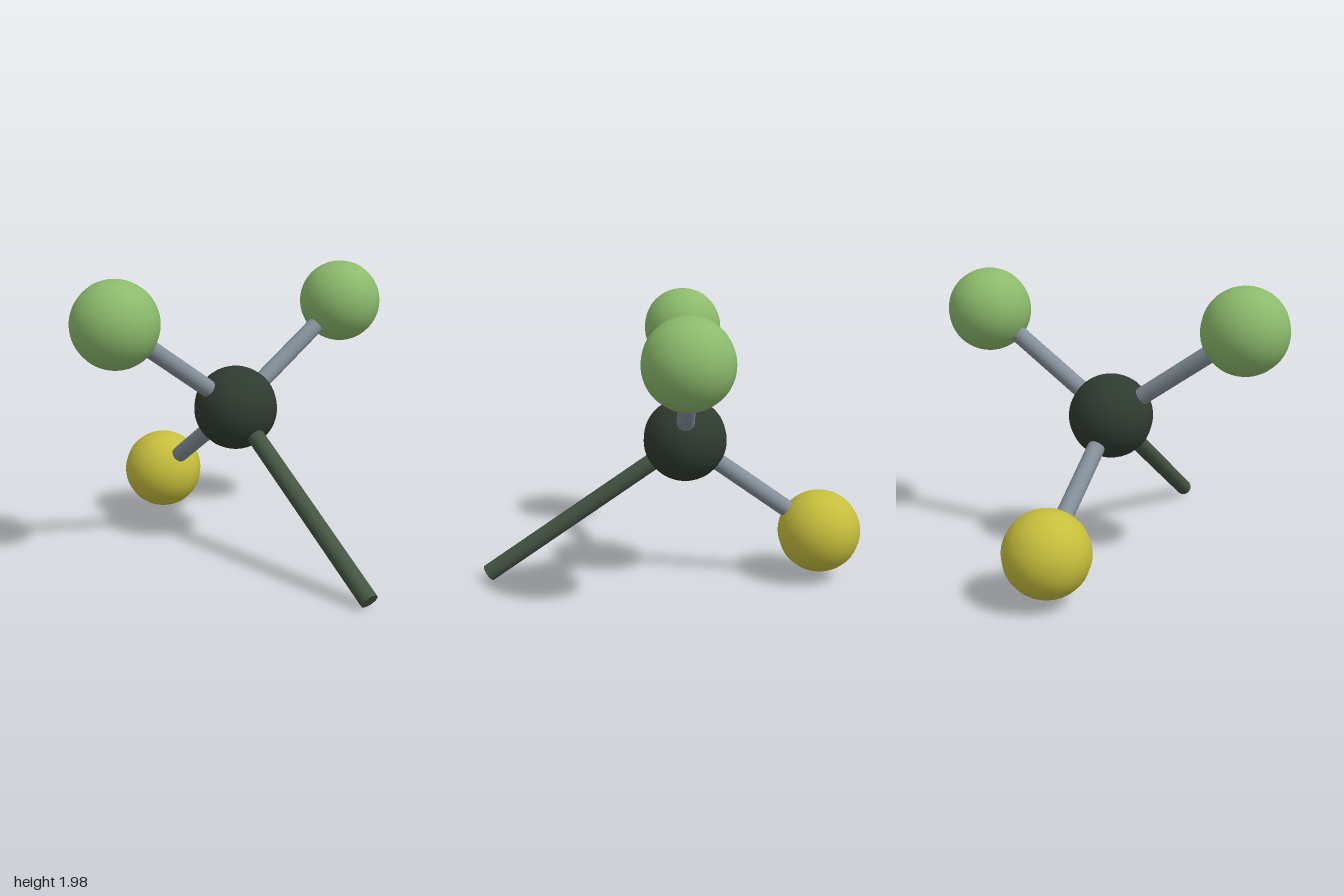
import * as THREE from 'three';

const CENTRE = new THREE.Vector3(-0.04, 1.02, -0.04);
const BALL_RADIUS = 0.29;
const ROD_RADIUS = 0.06;

const paint = (color) => new THREE.MeshStandardMaterial({ color });
const dark = paint(0x2f3b30);
const stemGreen = paint(0x455543);
const grey = paint(0x848f99);
const green = paint(0x8cba6c);
const yellow = paint(0xc6be3c);

function ball(name, position, material) {
  const mesh = new THREE.Mesh(new THREE.SphereGeometry(BALL_RADIUS, 20, 32), material);
  mesh.name = name;
  mesh.position.copy(position);
  return mesh;
}

// Capped rod running from one point to another
function rod(name, from, to, material) {
  const along = to.clone().sub(from);
  const mesh = new THREE.Mesh(
    new THREE.CylinderGeometry(ROD_RADIUS, ROD_RADIUS, along.length(), 20), material);
  mesh.name = name;
  mesh.position.copy(from).addScaledVector(along, 0.5);
  mesh.quaternion.setFromUnitVectors(new THREE.Vector3(0, 1, 0), along.normalize());
  return mesh;
}

export function createModel() {
  const model = new THREE.Group();
  model.name = 'tetrahedralMolecule';
  model.add(ball('centreBall', CENTRE, dark));

  // Three outer balls, each joined to the centre by a grey rod
  const outer = [
    ['frontRight', [-0.71, 1.69, 0.63], green],
    ['backLeft', [0.63, 1.69, -0.71], green],
    ['backRightLower', [-0.71, 0.355, -0.71], yellow],
  ];
  for (const [name, p, material] of outer) {
    const end = new THREE.Vector3(...p);
    model.add(ball(name + 'Ball', end, material));
    model.add(rod(name + 'Bond', CENTRE, end, grey));
  }

  // Long open-ended bond reaching down to the ground
  model.add(rod('freeBond', CENTRE, new THREE.Vector3(0.945, 0.05, 0.945), stemGreen));
  return model;
}
